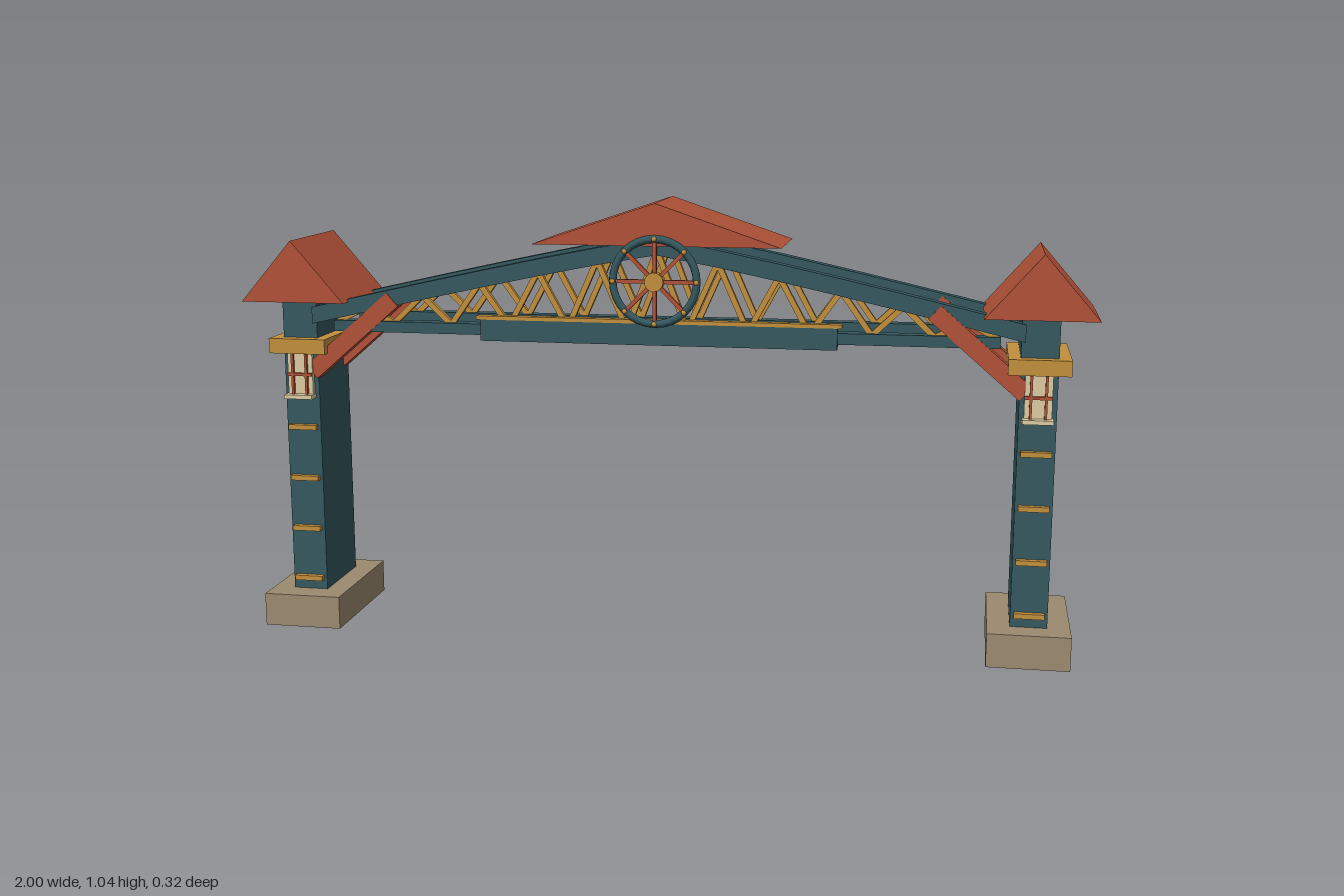
import * as THREE from 'three';

const mat = (name, color) => {
  const m = new THREE.MeshStandardMaterial({ color });
  m.name = name;
  return m;
};

export function createModel() {
  const teal = mat('tealPaint', 0x34585f);
  const red = mat('redTile', 0xb05138);
  const gold = mat('goldTrim', 0xc28f3c);
  const stone = mat('stone', 0x9c8a70);
  const cream = mat('creamPane', 0xdccba0);

  const root = new THREE.Group();
  root.name = 'archway';

  const add = (parent, name, geo, m, x = 0, y = 0, z = 0) => {
    const mesh = new THREE.Mesh(geo, m);
    mesh.name = name;
    mesh.position.set(x, y, z);
    parent.add(mesh);
    return mesh;
  };
  const box = (parent, name, m, w, h, d, x, y, z) =>
    add(parent, name, new THREE.BoxGeometry(w, h, d), m, x, y, z);

  // Extrude a front outline to a depth, centred on z
  const slab = (points, depth) => {
    const shape = new THREE.Shape(points.map(([x, y]) => new THREE.Vector2(x, y)));
    const geo = new THREE.ExtrudeGeometry(shape, { depth, bevelEnabled: false });
    return geo.translate(0, 0, -depth / 2);
  };
  const gable = (half, height, depth) => slab([[-half, 0], [half, 0], [0, height]], depth);

  // Straight bar between two points in a front-facing plane
  const bar = (parent, name, m, a, b, width, depth, z) => {
    const dx = b[0] - a[0], dy = b[1] - a[1];
    const mesh = box(parent, name, m, Math.hypot(dx, dy), width, depth,
      (a[0] + b[0]) / 2, (a[1] + b[1]) / 2, z);
    mesh.rotation.z = Math.atan2(dy, dx);
    return mesh;
  };

  // Towers
  for (const side of [-1, 1]) {
    const tower = new THREE.Group();
    tower.name = side < 0 ? 'rightTower' : 'leftTower';
    tower.position.x = side * 0.873;
    root.add(tower);
    box(tower, 'footing', stone, 0.19, 0.08, 0.325, 0, 0.04, 0);
    box(tower, 'pillar', teal, 0.085, 0.73, 0.2, 0, 0.44, 0);
    box(tower, 'collar', gold, 0.14, 0.036, 0.256, 0, 0.692, 0);
    add(tower, 'towerRoof', gable(0.127, 0.147, 0.286), red, 0, 0.8, 0);

    // Ladder rungs
    for (let i = 0; i < 4; i++) {
      box(tower, 'rung', gold, 0.07, 0.012, 0.016, 0, 0.11 + i * 0.127, 0.107);
    }

    // Small window with glazing bars and sill
    box(tower, 'windowPane', cream, 0.062, 0.1, 0.012, 0, 0.622, 0.106);
    for (const x of [-0.017, 0.017]) {
      box(tower, 'windowUpright', red, 0.006, 0.1, 0.008, x, 0.622, 0.116);
    }
    box(tower, 'windowCrossbar', red, 0.062, 0.007, 0.008, 0, 0.622, 0.116);
    box(tower, 'windowSill', cream, 0.07, 0.01, 0.03, 0, 0.569, 0.118);
  }

  // Arched top chord outline
  const chordY = x => 0.945 - 0.18 * Math.pow(Math.abs(x) / 0.84, 1.1);
  const upper = [], lower = [];
  for (let i = -6; i <= 6; i++) {
    const x = i * 0.14;
    upper.push([x, chordY(x) + 0.02]);
    lower.push([x, chordY(x) - 0.02]);
  }
  const chord = slab([...lower, ...upper.reverse()], 0.035);

  // Two parallel trusses
  for (const z of [-0.088, 0.088]) {
    const truss = new THREE.Group();
    truss.name = z > 0 ? 'frontTruss' : 'backTruss';
    root.add(truss);
    add(truss, 'topChord', chord, teal, 0, 0, z);
    box(truss, 'bottomChord', teal, 1.57, 0.026, 0.035, 0, 0.742, z);

    // Zigzag lattice
    const panels = 11, step = 1.56 / panels;
    for (let i = 0; i < panels; i++) {
      const x0 = -0.78 + i * step, xm = x0 + step / 2;
      const peak = [xm, chordY(xm) - 0.01];
      bar(truss, 'lattice', gold, [x0, 0.75], peak, 0.013, 0.014, z);
      bar(truss, 'lattice', gold, peak, [x0 + step, 0.75], 0.013, 0.014, z);
    }

    // Knee braces to the towers
    for (const s of [-1, 1]) {
      bar(truss, 'kneeBrace', red, [s * 0.845, 0.628], [s * 0.637, 0.808], 0.042, 0.04, z);
    }
  }

  // Front panel with gilded edge
  box(root, 'frontPanel', teal, 0.84, 0.052, 0.02, 0, 0.742, 0.1);
  box(root, 'panelTrim', gold, 0.86, 0.009, 0.022, 0, 0.771, 0.101);

  // Central roof
  add(root, 'centreRoof', gable(0.291, 0.098, 0.242), red, 0, 0.947, 0);

  // Ornamental wheel
  const wheel = new THREE.Group();
  wheel.name = 'wheel';
  wheel.position.set(0, 0.866, 0.122);
  root.add(wheel);
  add(wheel, 'rim', new THREE.TorusGeometry(0.098, 0.009, 8, 32), teal);
  for (let i = 0; i < 8; i++) {
    const a = i * Math.PI / 4;
    const c = Math.cos(a), s = Math.sin(a);
    bar(wheel, 'spoke', red, [0, 0], [c * 0.095, s * 0.095], 0.009, 0.009, 0);
    add(wheel, 'rimStud', new THREE.SphereGeometry(0.006, 8, 6), gold, c * 0.098, s * 0.098, 0.008);
  }
  const hub = add(wheel, 'hub', new THREE.CylinderGeometry(0.022, 0.022, 0.026, 16), gold);
  hub.rotation.x = Math.PI / 2;

  return root;
}
